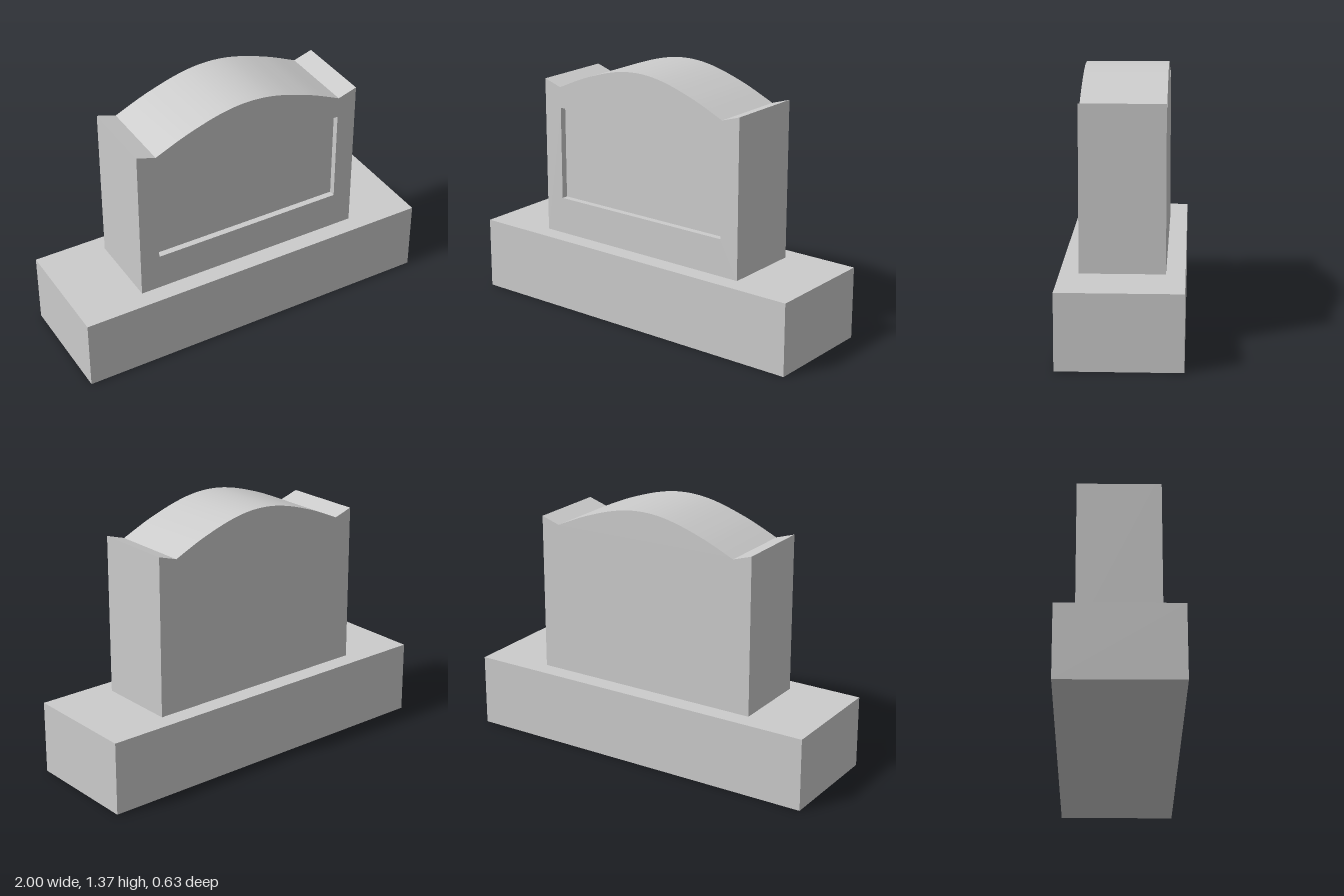
import * as THREE from 'three';
import { toCreasedNormals } from 'three/addons/utils/BufferGeometryUtils.js';

const BASE_H = 0.39, HALF_W = 0.64, HALF_D = 0.217, RECESS = 0.035;

// Outline of the headstone: upright sides, small corner peaks, arched crown
function stoneOutline() {
  const half = [[0.535, 1.21], [0.4, 1.27], [0.3, 1.307], [0.2, 1.338], [0.1, 1.359]];
  const arch = [
    ...half.map(([x, y]) => new THREE.Vector2(x, y)),
    new THREE.Vector2(0, 1.366),
    ...half.map(([x, y]) => new THREE.Vector2(-x, y)).reverse(),
  ];
  const shape = new THREE.Shape();
  shape.moveTo(-HALF_W, BASE_H);
  shape.lineTo(HALF_W, BASE_H);
  shape.lineTo(HALF_W, 1.243);
  shape.lineTo(arch[0].x, arch[0].y);
  shape.splineThru(arch.slice(1));
  shape.lineTo(-HALF_W, 1.243);
  shape.closePath();
  return shape;
}

function slab(name, shape, zBack, depth, material) {
  const geometry = new THREE.ExtrudeGeometry(shape, { depth, bevelEnabled: false, curveSegments: 4 });
  geometry.translate(0, 0, zBack);
  const mesh = new THREE.Mesh(toCreasedNormals(geometry, 0.3), material);
  mesh.name = name;
  return mesh;
}

export function createModel() {
  const group = new THREE.Group();
  group.name = 'gravestone';
  const stone = new THREE.MeshStandardMaterial({ color: 0xcccccc });

  // Plinth
  const plinth = new THREE.Mesh(new THREE.BoxGeometry(2, BASE_H, 0.628), stone);
  plinth.name = 'plinth';
  plinth.position.y = BASE_H / 2;
  group.add(plinth);

  // Solid body, whose front is the floor of the recessed panel
  const headstone = new THREE.Group();
  headstone.name = 'headstone';
  headstone.add(slab('headstoneBody', stoneOutline(), -HALF_D, 2 * HALF_D - RECESS, stone));

  // Front layer with the rectangular panel cut out
  const frame = stoneOutline();
  const panel = new THREE.Path();
  panel.moveTo(-0.533, 0.59);
  panel.lineTo(-0.533, 1.097);
  panel.lineTo(0.533, 1.097);
  panel.lineTo(0.533, 0.59);
  panel.closePath();
  frame.holes.push(panel);
  headstone.add(slab('panelFrame', frame, HALF_D - RECESS, RECESS, stone));
  group.add(headstone);

  return group;
}
